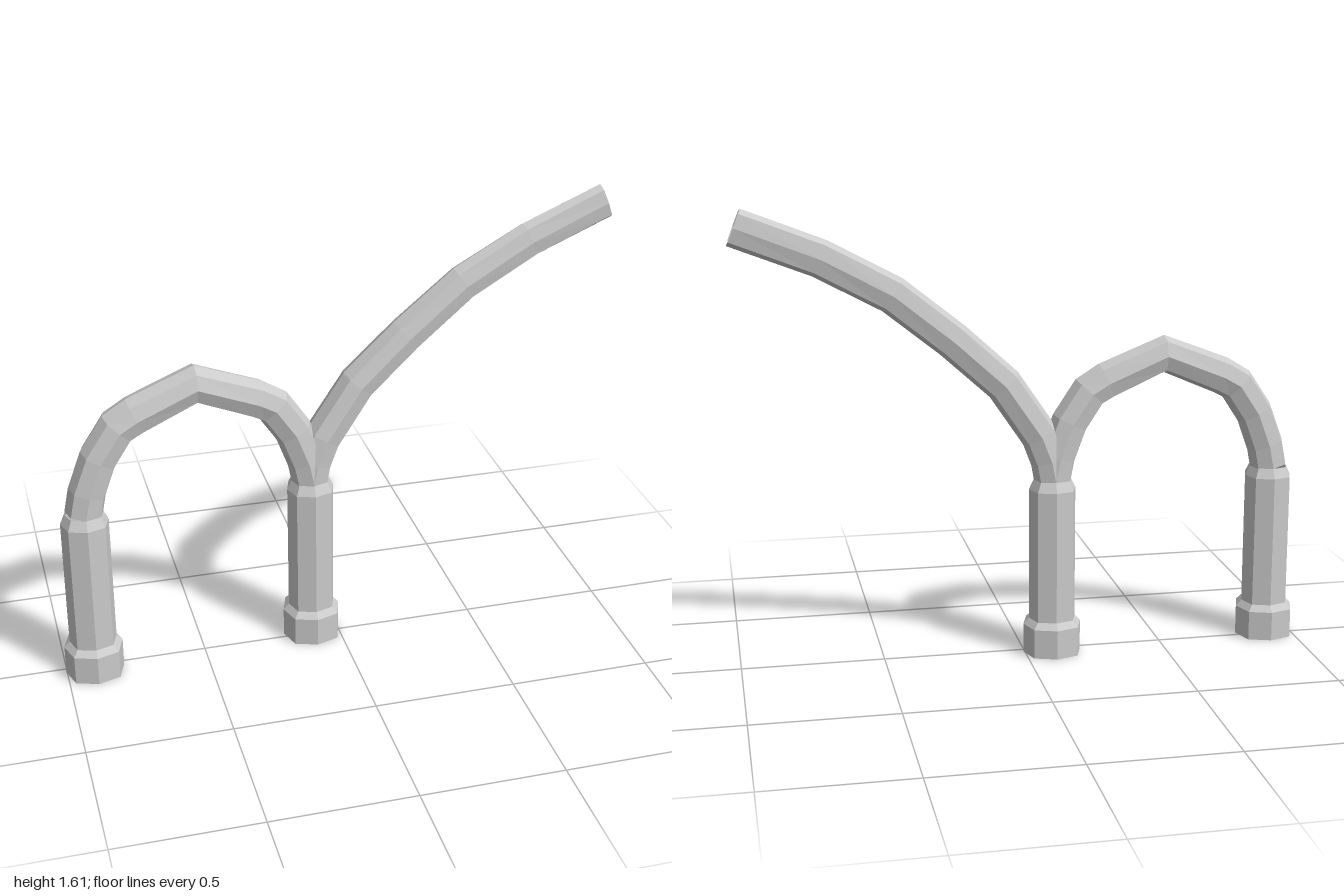
import * as THREE from 'three';

const material = new THREE.MeshStandardMaterial({ color: 0xcccccc, flatShading: true, side: THREE.DoubleSide });

// Eight-sided, slightly squared pipe section
const section = [[1, 0], [0.76, 0.75], [0, 1], [-0.76, 0.75], [-1, 0], [-0.76, -0.75], [0, -1], [0.76, -0.75]];

// Lofts the section along rings of [x, y, z, radius, depth radius]
function loft(name, rings, capStart = false) {
  const n = section.length, pos = [], idx = [];
  rings.forEach(([x, y, z, r, d = r], i) => {
    const a = rings[Math.max(i - 1, 0)], b = rings[Math.min(i + 1, rings.length - 1)];
    const t = new THREE.Vector2(b[0] - a[0], b[1] - a[1]).normalize();
    for (const [u, v] of section) pos.push(x + t.y * u * r, y - t.x * u * r, z + v * d);
  });
  for (let i = 0; i < rings.length - 1; i++) {
    for (let j = 0; j < n; j++) {
      const a = i * n + j, b = i * n + (j + 1) % n;
      idx.push(a, a + n, b, b, a + n, b + n);
    }
  }
  if (capStart) for (let j = 1; j < n - 1; j++) idx.push(0, j, j + 1);
  let geo = new THREE.BufferGeometry();
  geo.setAttribute('position', new THREE.Float32BufferAttribute(pos, 3));
  geo.setIndex(idx);
  geo = geo.toNonIndexed();
  geo.computeVertexNormals();
  const mesh = new THREE.Mesh(geo, material);
  mesh.name = name;
  return mesh;
}

export function createModel() {
  const group = new THREE.Group();
  group.name = 'branchingPipe';
  const leftX = -0.9, rightX = -0.098, zNear = 0.02, zFar = -0.02;

  // Upright sleeves with a foot collar and a tapered neck
  const profile = [[0.005, 0.103], [0.11, 0.103], [0.132, 0.083], [0.605, 0.083], [0.64, 0.066]];
  const post = (name, x, z) => loft(name, profile.map(([y, r]) => [x, y, z, r]), true);
  group.add(post('outerPost', leftX, zNear), post('middlePost', rightX, zFar));

  // Arch joining both posts, mirrored about its peak
  const half = [[0.401, 0.64], [0.385, 0.72], [0.34, 0.84], [0.27, 0.945], [0.21, 0.98]];
  const mid = (leftX + rightX) / 2;
  const archPath = [
    ...half.map(([x, y]) => [mid - x, y]),
    [mid, 1.066],
    ...half.map(([x, y]) => [mid + x, y]).reverse(),
  ];
  group.add(loft('arch', archPath.map(([x, y]) =>
    [x, y, THREE.MathUtils.mapLinear(x, leftX, rightX, zNear, zFar), 0.066])));

  // Open-ended branch, flattening in depth towards its tip
  const branchPath = [[rightX, 0.64], [-0.085, 0.71], [-0.05, 0.8], [0.075, 0.985], [0.25, 1.145],
    [0.455, 1.31], [0.695, 1.44], [0.973, 1.55]];
  group.add(loft('branch', branchPath.map(([x, y]) => {
    const k = (x - rightX) / (0.973 - rightX);
    return [x, y, THREE.MathUtils.lerp(zFar, -0.072, k), 0.065, THREE.MathUtils.lerp(0.066, 0.032, k)];
  })));

  return group;
}
